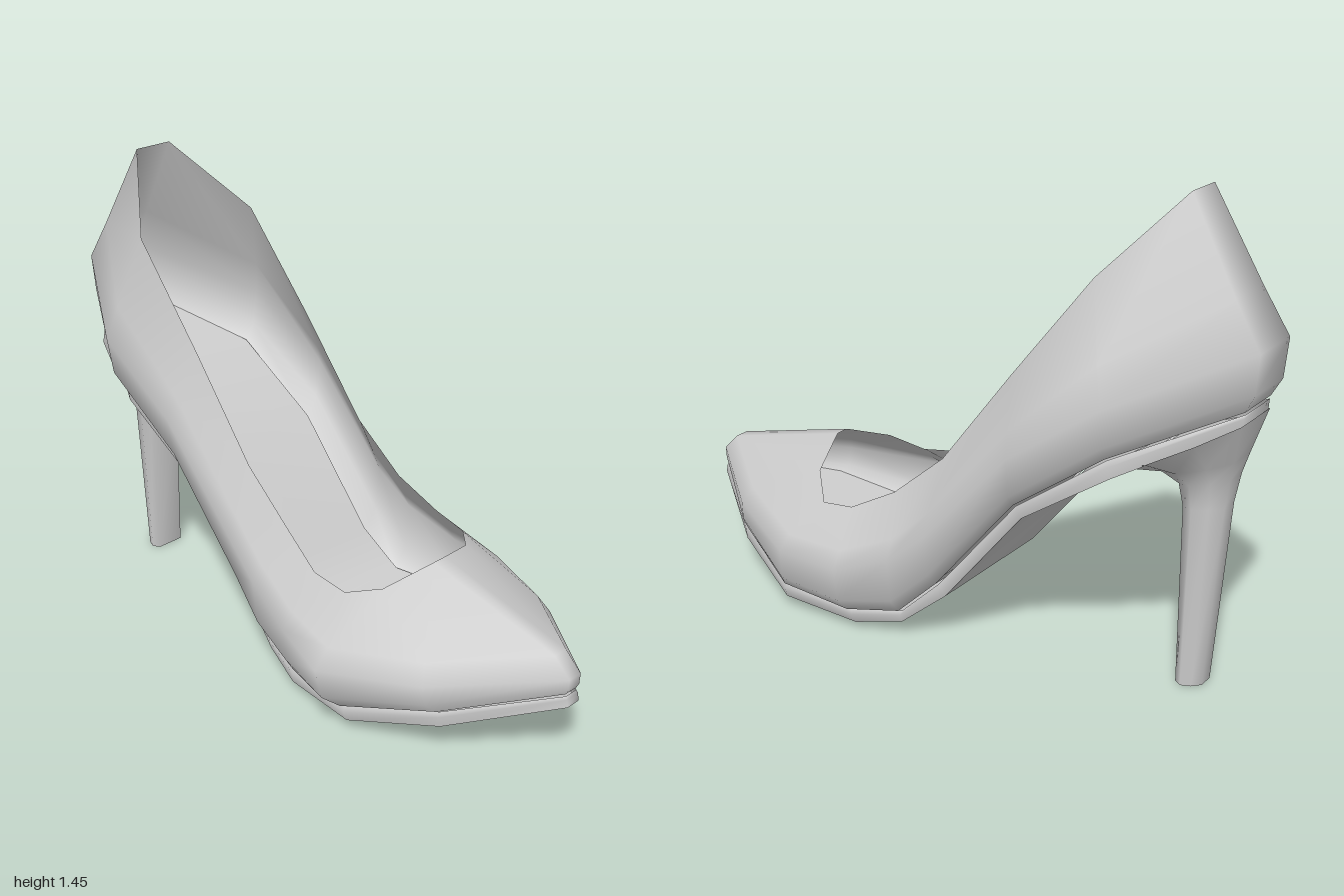
import * as THREE from 'three';

const material = new THREE.MeshStandardMaterial({ color: 0xcccccc, side: THREE.DoubleSide });

// A loop is a list of stations from back to toe: [z, y, xLow, xHigh].
// Its points run down the -x side to the toe and return along the +x side.
const ring = (loop) => [
  ...loop.map(([z, y, a]) => [a, y, z]),
  ...[...loop].reverse().map(([z, y, , b]) => [b, y, z]),
];

function makeMesh(name, points, index) {
  const geometry = new THREE.BufferGeometry();
  geometry.setAttribute('position', new THREE.Float32BufferAttribute(points.flat(), 3));
  geometry.setIndex(index);
  geometry.computeVertexNormals();
  const mesh = new THREE.Mesh(geometry, material);
  mesh.name = name;
  return mesh;
}

// Smooth skin through loops stacked from bottom to top
function loft(name, loops) {
  const n = loops[0].length * 2;
  const index = [];
  for (let j = 0; j < loops.length - 1; j++) {
    for (let i = 0; i < n; i++) {
      const k = (i + 1) % n;
      const a = j * n + i, b = j * n + k, c = b + n, d = a + n;
      index.push(a, b, c, a, c, d);
    }
  }
  return makeMesh(name, loops.flatMap(ring), index);
}

// Surface spanning one loop from side to side
function span(name, loop, facesUp) {
  const last = loop.length * 2 - 1;
  const index = [];
  for (let i = 0; i < loop.length - 1; i++) {
    const a = i, b = i + 1, c = last - i - 1, d = last - i;
    if (facesUp) index.push(a, b, c, a, c, d);
    else index.push(a, c, b, a, d, c);
  }
  return makeMesh(name, ring(loop), index);
}

const mix = (p, q, t) => p + (q - p) * t;
const blend = (A, B, fz, fy, fx) => A.map((p, i) => [
  mix(p[0], B[i][0], fz(i)), mix(p[1], B[i][1], fy), mix(p[2], B[i][2], fx), mix(p[3], B[i][3], fx),
]);
const inset = (loop, s, dy) => loop.map(([z, y, a, b]) => [z, y + dy, a * s, b * s]);

// Lower edge of the upper, along the sole
const feather = [
  [-0.965, 0.88, -0.08, 0.08], [-0.65, 0.735, -0.24, 0.27], [-0.37, 0.535, -0.23, 0.29],
  [-0.10, 0.21, -0.23, 0.29], [0.02, 0.095, -0.26, 0.32], [0.18, 0.075, -0.31, 0.37],
  [0.43, 0.09, -0.36, 0.37], [0.72, 0.17, -0.27, 0.23], [0.99, 0.25, -0.04, 0.01],
];
// Widest line of the upper
const girth = [
  [-1.0, 1.05, -0.10, 0.085], [-0.67, 0.90, -0.30, 0.34], [-0.40, 0.71, -0.29, 0.377],
  [-0.12, 0.40, -0.29, 0.38], [0.0, 0.30, -0.305, 0.40], [0.18, 0.23, -0.35, 0.43],
  [0.40, 0.23, -0.432, 0.42], [0.70, 0.26, -0.31, 0.26], [1.0, 0.30, -0.04, 0.01],
];
// Foot opening
const topline = [
  [-0.77, 1.45, -0.065, 0.065], [-0.59, 1.23, -0.205, 0.25], [-0.35, 0.92, -0.20, 0.27],
  [-0.12, 0.615, -0.20, 0.28], [0.05, 0.47, -0.205, 0.29], [0.20, 0.39, -0.235, 0.31],
  [0.32, 0.37, -0.23, 0.295], [0.43, 0.41, -0.185, 0.18], [0.495, 0.465, -0.04, 0.01],
];
// Lower edge of the sole
const tread = [
  [-0.96, 0.83, -0.08, 0.08], [-0.66, 0.675, -0.23, 0.26], [-0.385, 0.49, -0.22, 0.27],
  [-0.12, 0.165, -0.22, 0.27], [0.02, 0.05, -0.25, 0.30], [0.17, 0.02, -0.30, 0.34],
  [0.44, 0.035, -0.34, 0.35], [0.72, 0.11, -0.25, 0.22], [1.0, 0.21, -0.04, 0.01],
];

// Heel sections, given as front z and y, back z and y, and half width
const heelSections = [
  [-0.79, 0, -0.865, 0, 0.062],
  [-0.79, 0.56, -0.905, 0.57, 0.075],
  [-0.78, 0.63, -0.92, 0.66, 0.09],
  [-0.74, 0.665, -0.935, 0.72, 0.125],
  [-0.66, 0.68, -0.967, 0.845, 0.22],
];
const heelOutline = [[0, 0.4], [0.3, 0.8], [0.7, 1], [1, 0.75]];

export function createModel() {
  const group = new THREE.Group();

  // Upper: feather edge, rounded lower wall, girth, shoulder, opening
  const lowWall = blend(feather, girth, () => 0.75, 0.3, 0.72);
  const shoulder = blend(girth, topline, (i) => (i < 4 ? 0.35 : 0.11), 0.33, 0.3);
  group.add(loft('upper', [feather, lowWall, girth, shoulder, topline]));
  group.add(span('insole', inset(feather, 1, 0.01), true));

  // Sole: recessed seam, rounded rim, flat underside
  const rim = blend(tread, feather, () => 0.4, 0.6, 0.6);
  group.add(loft('soleRim', [tread, rim, inset(feather, 0.94, -0.008)]));
  group.add(span('soleUnderside', tread, false));

  // Heel: slim stem flaring into the seat of the sole
  const heelLoops = heelSections.map(([zf, yf, zb, yb, w]) => heelOutline.map(([u, s]) => [
    mix(zb, zf, u), mix(yb, yf, u), 0.012 - w * s, 0.012 + w * s,
  ]));
  group.add(loft('heel', heelLoops));
  group.add(span('heelTip', heelLoops[0], false));

  return group;
}
